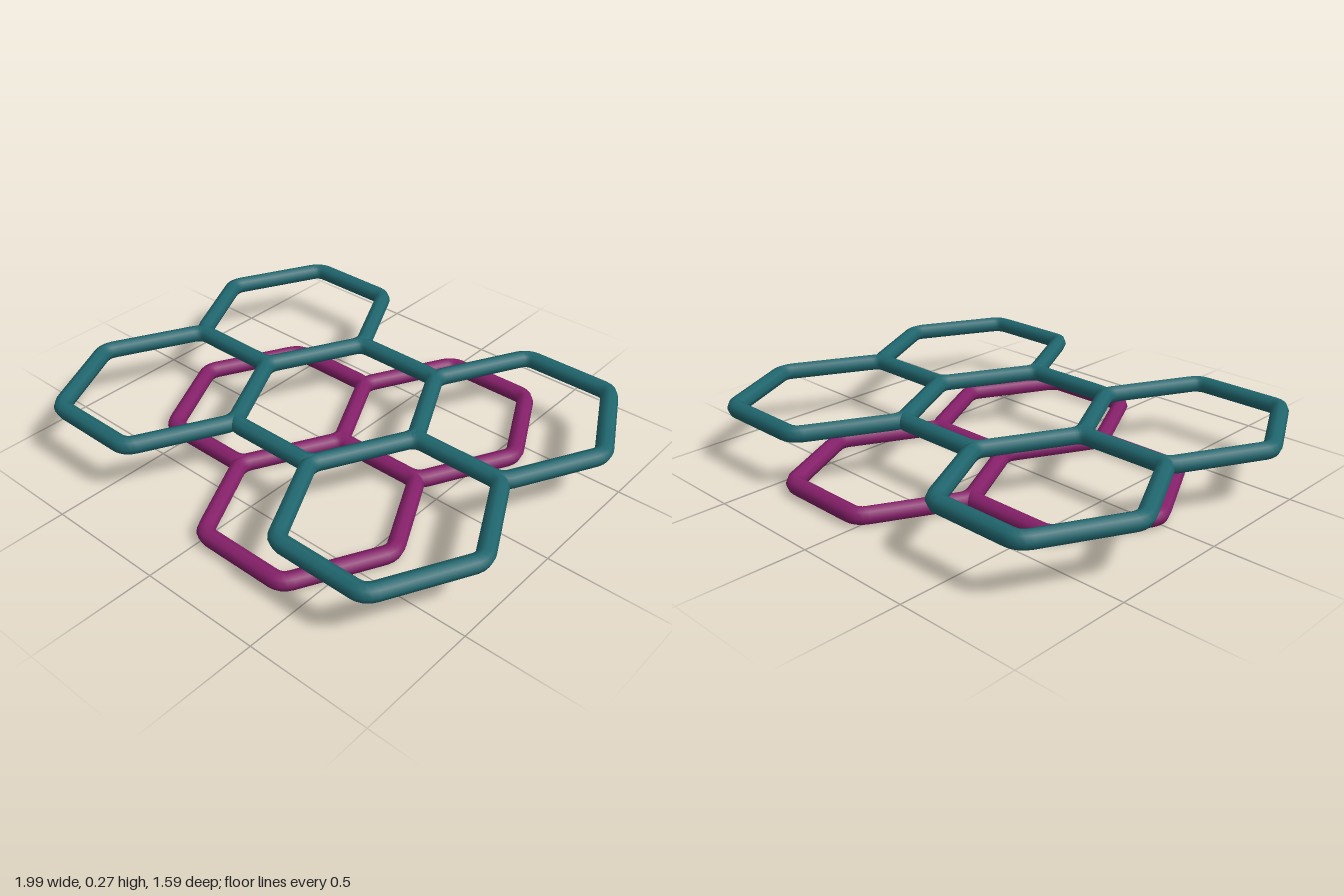
import * as THREE from 'three';

const HALF_WIDTH = 0.389;   // centre to side corner
const HALF_DEPTH = 0.3775;  // centre to straight front/back edge
const PITCH = 0.583;        // spacing of neighbouring columns
const ROD = 0.035;
const FILLET = 0.04;

// Closed hexagonal centreline with softened corners, flat in the xz plane
function hexPath() {
  const corners = [[1, 0], [0.5, 1], [-0.5, 1], [-1, 0], [-0.5, -1], [0.5, -1]]
    .map(([x, z]) => new THREE.Vector3(x * HALF_WIDTH, 0, z * HALF_DEPTH));
  const toward = (a, b) => a.clone().add(b.clone().sub(a).setLength(FILLET));
  const path = new THREE.CurvePath();
  let from = corners[5].clone().lerp(corners[0], 0.5);
  const start = from;
  corners.forEach((corner, i) => {
    const before = toward(corner, corners[(i + 5) % 6]);
    const after = toward(corner, corners[(i + 1) % 6]);
    path.add(new THREE.LineCurve3(from, before));
    path.add(new THREE.QuadraticBezierCurve3(before, corner, after));
    from = after;
  });
  path.add(new THREE.LineCurve3(from, start));
  return path;
}

// One layer of joined rings
function layer(name, geometry, material, centres) {
  const group = new THREE.Group();
  group.name = name;
  centres.forEach(([x, z], i) => {
    const ring = new THREE.Mesh(geometry, material);
    ring.name = `${name}Ring${i + 1}`;
    ring.position.set(x, 0, z);
    group.add(ring);
  });
  return group;
}

export function createModel() {
  const model = new THREE.Group();
  model.name = 'hexagonLattice';

  const teal = new THREE.MeshStandardMaterial({ color: 0x20666e });
  teal.name = 'teal';
  const purple = new THREE.MeshStandardMaterial({ color: 0x86206a });
  purple.name = 'purple';

  const ring = new THREE.TubeGeometry(hexPath(), 132, ROD, 8, true);

  // Upper layer: a middle ring with four around it
  const upper = layer('upperLayer', ring, teal, [
    [0, 0],
    [-PITCH, -HALF_DEPTH], [PITCH, -HALF_DEPTH],
    [-PITCH, HALF_DEPTH], [PITCH, HALF_DEPTH],
  ]);
  upper.position.set(0, 0.236, 0.003);

  // Lower layer: three rings meeting at one corner
  const lower = layer('lowerLayer', ring, purple, [
    [0, 0], [PITCH, -HALF_DEPTH], [PITCH, HALF_DEPTH],
  ]);
  lower.position.set(-0.38, ROD, -0.007);

  model.add(upper, lower);
  return model;
}
